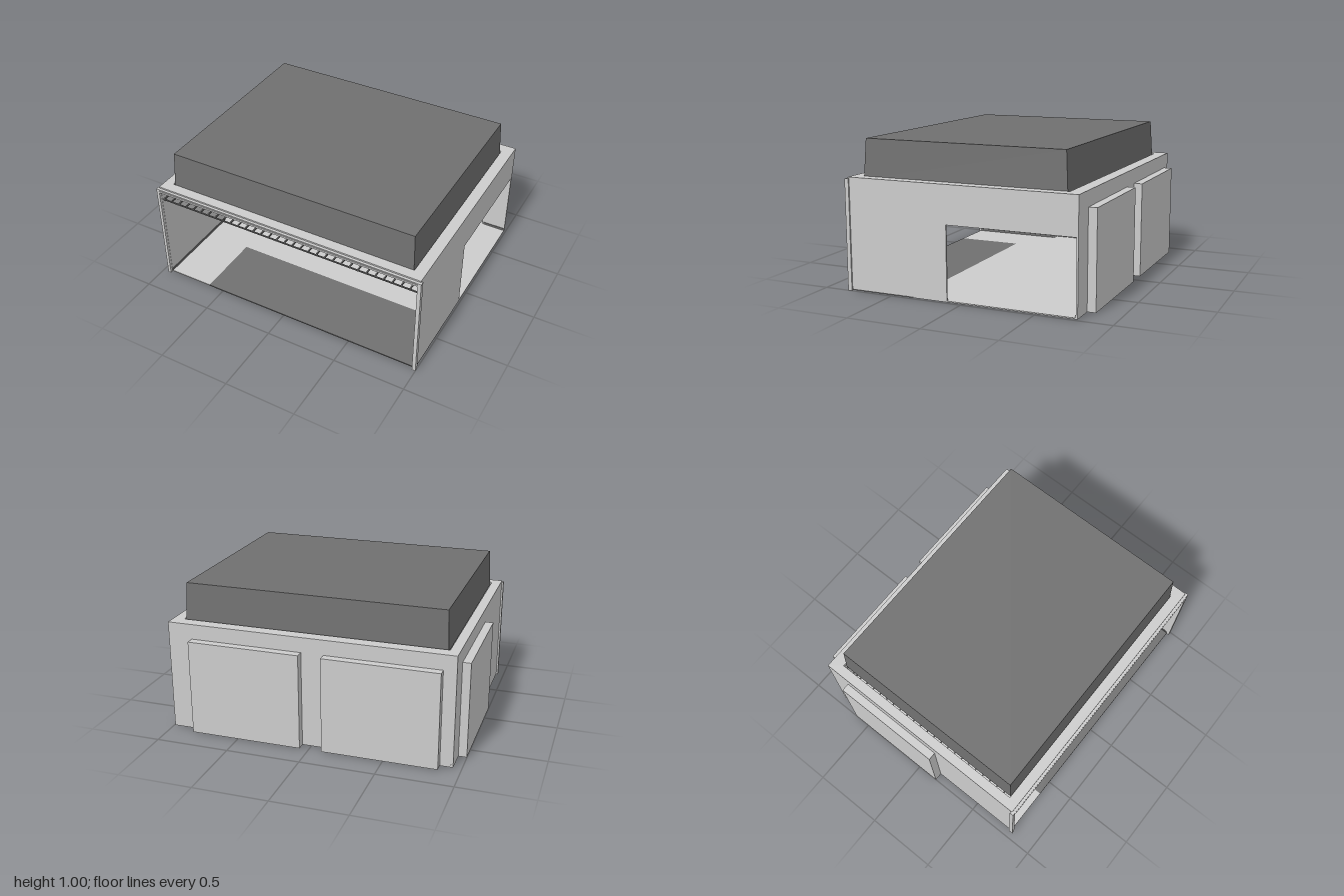
import * as THREE from 'three';

export function createModel() {
  const model = new THREE.Group();
  model.name = 'openRoom';
  const light = new THREE.MeshStandardMaterial({ color: 0xcccccc });
  light.name = 'light grey';
  const dark = new THREE.MeshStandardMaterial({ color: 0x707070 });
  dark.name = 'dark grey';

  // Box between two opposite corners
  function block(parent, name, mat, x0, x1, y0, y1, z0, z1) {
    const mesh = new THREE.Mesh(new THREE.BoxGeometry(x1 - x0, y1 - y0, z1 - z0), mat);
    mesh.position.set((x0 + x1) / 2, (y0 + y1) / 2, (z0 + z1) / 2);
    mesh.name = name;
    parent.add(mesh);
    return mesh;
  }
  function group(name) {
    const g = new THREE.Group();
    g.name = name;
    model.add(g);
    return g;
  }

  const L = -0.945, R = 0.99, B = -0.775, F = 0.81; // outer faces of the walls
  const T = 0.012, base = 0.008, mid = 0.65, top = 0.755;
  const skirt = 0.028, s = 0.004; // skirting height and thickness

  // Floor, with a dark inset at the front
  const floor = group('floor');
  block(floor, 'floorBack', light, L, R, 0.004, 0.012, B, 0.34);
  block(floor, 'floorFrontCorner', light, L, -0.61, 0.004, 0.012, 0.34, F);
  block(floor, 'floorInset', dark, -0.61, R, 0.004, 0.012, 0.34, F);

  // Back wall piers between the two bays
  const bays = [[-0.86, -0.09], [0.06, 0.825]];
  const backWall = group('backWall');
  for (const [a, b] of [[L, bays[0][0]], [bays[0][1], bays[1][0]], [bays[1][1], R]]) {
    block(backWall, 'backPier', light, a, b, base, mid, B, B + T);
    block(backWall, 'backSkirting', dark, Math.max(a, L + T), b, 0.012, skirt, B + T, B + T + s);
  }

  // Shallow bays pushed out of the back wall
  const D = -0.832;
  for (const [a, b] of bays) {
    const bay = group('backBay');
    block(bay, 'bayPanel', light, a, b, base, mid, D, D + T);
    block(bay, 'bayTop', light, a, b, mid - T, mid + 0.003, D, B + T);
    block(bay, 'bayFloor', light, a, b, 0.004, 0.012, D, B);
    block(bay, 'baySkirting', dark, a + T, b - T, 0.012, skirt, D + T, D + T + s);
    for (const x of [a, b - T]) block(bay, 'baySide', light, x, x + T, base, mid, D, B + T);
  }

  // Left-hand wall in the plan (-x) with its own bay
  const sideWall = group('rightWall');
  const b0 = -0.615, b1 = 0.155;
  for (const [a, b] of [[B, b0], [b1, F]]) {
    block(sideWall, 'sidePier', light, L, L + T, base, mid, a, b);
    block(sideWall, 'sideSkirting', dark, L + T, L + T + s, 0.012, skirt, a, b);
  }
  const sideBay = group('sideBay');
  block(sideBay, 'bayPanel', light, -1, -1 + T, base, mid, b0, b1);
  block(sideBay, 'bayTop', light, -1, L + T, mid - T, mid + 0.003, b0, b1);
  block(sideBay, 'bayFloor', light, -1, L, 0.004, 0.012, b0, b1);
  block(sideBay, 'baySkirting', dark, -1 + T, -1 + T + s, 0.012, skirt, b0 + T, b1 - T);
  for (const z of [b0, b1 - T]) block(sideBay, 'baySide', light, -1, L + T, base, mid, z, z + T);

  // Opposite wall (+x) with a doorway reaching the back corner
  const doorWall = group('leftWall');
  block(doorWall, 'doorWallPanel', light, R - T, R, base, mid, 0.1, F);
  block(doorWall, 'doorLintel', light, R - T, R, 0.5, mid, B + T, 0.1);
  block(doorWall, 'doorWallSkirting', dark, R - T - s, R - T, 0.012, skirt, 0.1, F);

  // Upper wall band
  const band = group('upperBand');
  block(band, 'bandBack', light, L, R, mid, top, B, B + T);
  block(band, 'bandRight', light, L, L + T, mid, top, B, F);
  block(band, 'bandLeft', light, R - T, R, mid, top, B, F);

  // Roof rim with an opening for the raised roof
  const rim = new THREE.Shape([[L, -F], [R, -F], [R, -B], [L, -B]].map(p => new THREE.Vector2(...p)));
  rim.holes.push(new THREE.Path(
    [[-0.88, -0.74], [-0.88, 0.69], [0.913, 0.69], [0.913, -0.74]].map(p => new THREE.Vector2(...p))));
  const rimGeo = new THREE.ExtrudeGeometry(rim, { depth: 0.03, bevelEnabled: false });
  rimGeo.rotateX(-Math.PI / 2);
  const rimMesh = new THREE.Mesh(rimGeo, light);
  rimMesh.name = 'roofRim';
  rimMesh.position.y = top - 0.03;
  model.add(rimMesh);

  // Front frame around the open side
  const frame = group('frontFrame');
  block(frame, 'framePostRight', light, -0.957, -0.935, 0, 0.745, 0.8, 0.828);
  block(frame, 'framePostLeft', light, 0.975, 1, 0, 0.745, 0.8, 0.828);
  block(frame, 'frameHead', light, -0.935, 0.975, 0.72, 0.745, 0.8, 0.828);
  block(frame, 'frameBead', light, -0.935, 0.975, 0.73, 0.737, 0.828, 0.832);

  // Raised roof, narrowing slightly upward
  const roof = block(model, 'raisedRoof', dark, -0.868, 0.91, 0.735, 1, -0.676, 0.738);
  const p = roof.geometry.attributes.position;
  for (let i = 0; i < p.count; i++) {
    if (p.getY(i) > 0) p.setXYZ(i, p.getX(i) * 0.986, p.getY(i), p.getZ(i) * 0.979);
  }
  roof.geometry.computeVertexNormals();

  // Open lattice ceiling
  const lattice = group('ceilingLattice');
  const nx = 32, nz = 26, w = 0.004;
  const x0 = L + T, x1 = R - T, z0 = B + T, z1 = 0.8;
  for (let i = 0; i <= nx; i++) {
    const x = x0 + w + (x1 - x0 - 2 * w) * i / nx;
    block(lattice, 'longBar', dark, x - w, x + w, 0.64, 0.65, z0, z1);
  }
  for (let i = 0; i <= nz; i++) {
    const z = z0 + w + (z1 - z0 - 2 * w) * i / nz;
    block(lattice, 'crossBar', dark, x0, x1, 0.641, 0.649, z - w, z + w);
  }

  return model;
}
